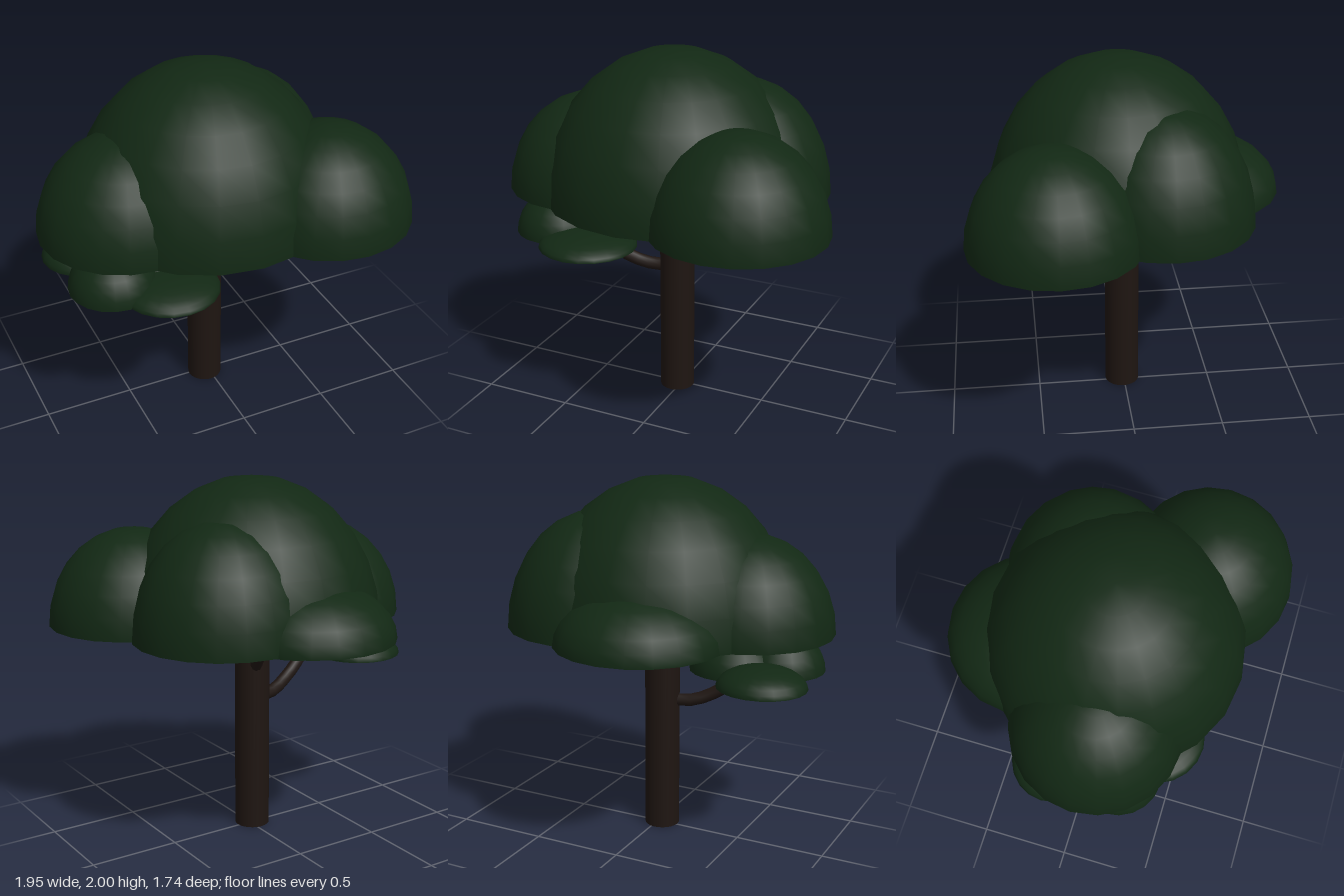
import * as THREE from 'three';

const leafMaterial = new THREE.MeshStandardMaterial({ color: 0x122814 });
const barkMaterial = new THREE.MeshStandardMaterial({ color: 0x1e1511 });

// Half ellipsoid of foliage with a flat closed underside
function leafDome(name, x, y, z, rx, h, rz) {
  const dome = new THREE.Group();
  dome.name = name;
  const cap = new THREE.Mesh(
    new THREE.SphereGeometry(1, 20, 7, 0, Math.PI * 2, 0, Math.PI / 2), leafMaterial);
  cap.name = name + 'Top';
  cap.scale.set(rx, h, rz);
  const base = new THREE.Mesh(new THREE.CircleGeometry(1, 20), leafMaterial);
  base.name = name + 'Underside';
  base.rotation.x = Math.PI / 2;
  base.scale.set(rx, rz, 1);
  dome.add(cap, base);
  dome.position.set(x, y, z);
  return dome;
}

// Round limb following a smooth path
function limb(name, points, radius) {
  const path = new THREE.CatmullRomCurve3(points.map(p => new THREE.Vector3(...p)));
  const mesh = new THREE.Mesh(new THREE.TubeGeometry(path, 8, radius, 10), barkMaterial);
  mesh.name = name;
  return mesh;
}

export function createModel() {
  const tree = new THREE.Group();
  tree.name = 'tree';

  // Trunk, running up into the canopy
  const trunk = new THREE.Mesh(new THREE.CylinderGeometry(0.097, 0.097, 1.35, 24), barkMaterial);
  trunk.name = 'trunk';
  trunk.position.set(-0.023, 0.675, 0.01);
  tree.add(trunk);

  // Branches
  tree.add(limb('lowerBranch', [
    [-0.05, 0.75, 0.02], [-0.19, 0.755, 0.05], [-0.31, 0.805, 0.09],
    [-0.41, 0.88, 0.115], [-0.49, 0.98, 0.13],
  ], 0.036));
  tree.add(limb('upperBranch', [
    [-0.01, 0.93, -0.03], [0.03, 1.08, -0.16], [0.065, 1.24, -0.32],
  ], 0.036));

  // Main canopy: name, x, z, radius x, height, radius z
  const canopy = new THREE.Group();
  canopy.name = 'canopy';
  const canopyDomes = [
    ['centreDome', -0.03, 0.03, 0.71, 0.81, 0.705],
    ['rightDome', -0.5, 0.07, 0.475, 0.53, 0.465],
    ['leftFrontDome', 0.5, 0.405, 0.472, 0.525, 0.462],
    ['leftBackDome', 0.28, -0.18, 0.49, 0.63, 0.485],
    ['backDome', -0.11, -0.42, 0.455, 0.3, 0.45],
  ];
  for (const [name, x, z, rx, h, rz] of canopyDomes) {
    canopy.add(leafDome(name, x, 1.19, z, rx, h, rz));
  }

  // Small tuft on the lower branch
  const tuft = new THREE.Group();
  tuft.name = 'lowerTuft';
  const tuftDomes = [
    ['tallTuft', -0.645, 0.23, 0.24, 0.225, 0.24],
    ['innerTuft', -0.42, 0.11, 0.255, 0.21, 0.24],
    ['frontTuft', -0.39, 0.37, 0.27, 0.085, 0.27],
    ['backTuft', -0.67, -0.12, 0.245, 0.115, 0.23],
  ];
  for (const [name, x, z, rx, h, rz] of tuftDomes) {
    tuft.add(leafDome(name, x, 0.95, z, rx, h, rz));
  }

  tree.add(canopy, tuft);
  return tree;
}
